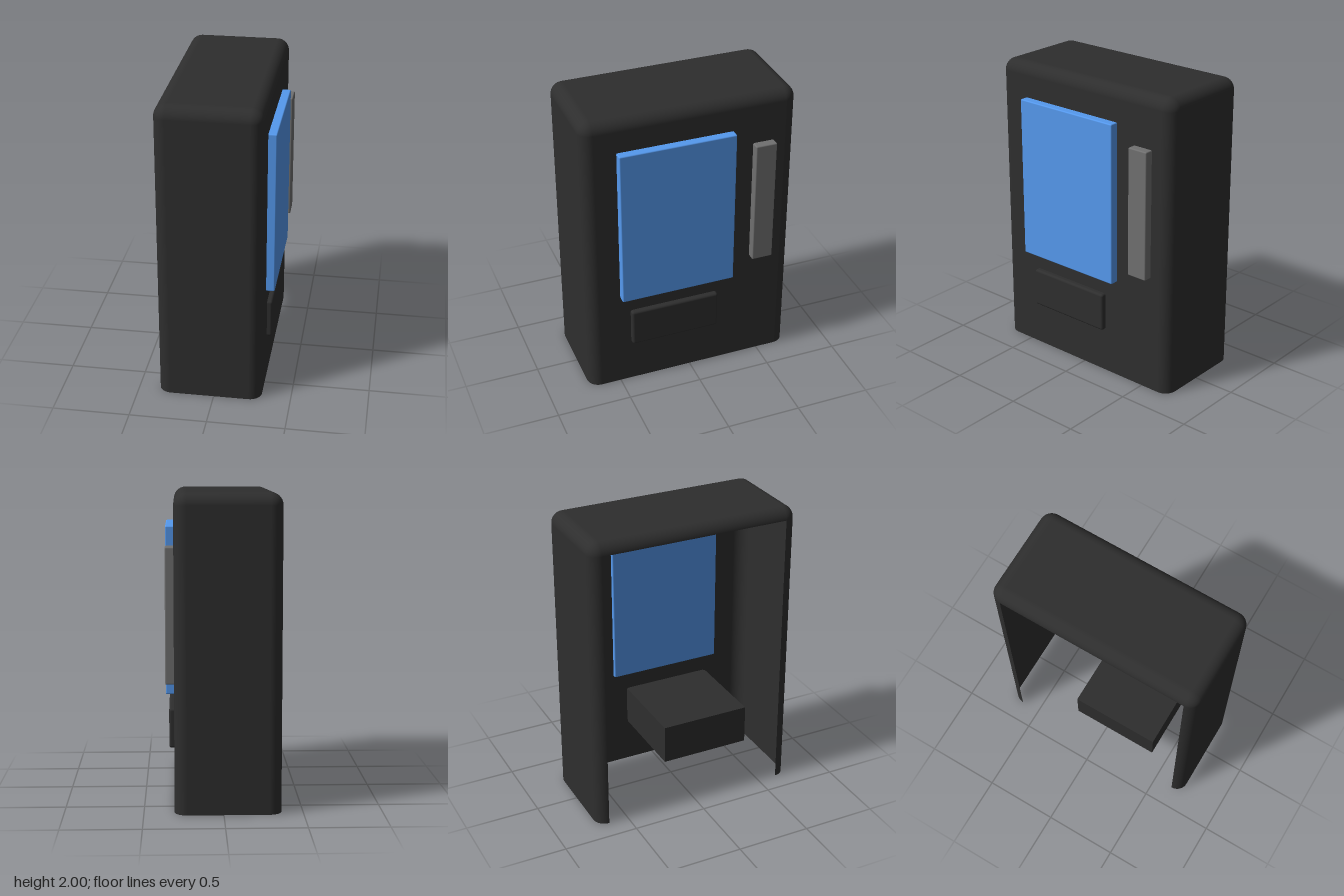
import * as THREE from 'three';
import { RoundedBoxGeometry } from 'three/addons/geometries/RoundedBoxGeometry.js';

const dark = new THREE.MeshStandardMaterial({ color: 0x2e2e2e });
const shellDark = new THREE.MeshStandardMaterial({ color: 0x2e2e2e, side: THREE.DoubleSide });
const blue = new THREE.MeshStandardMaterial({ color: 0x5599ee });
const grey = new THREE.MeshStandardMaterial({ color: 0x707070 });

// Box given by its limits on each axis; radius 0 keeps the edges sharp
function block(name, [x0, x1], [y0, y1], [z0, z1], radius, material) {
  const size = [x1 - x0, y1 - y0, z1 - z0];
  const geometry = radius
    ? new RoundedBoxGeometry(...size, 3, radius)
    : new THREE.BoxGeometry(...size);
  geometry.translate((x0 + x1) / 2, (y0 + y1) / 2, (z0 + z1) / 2);
  const mesh = new THREE.Mesh(geometry, material);
  mesh.name = name;
  return mesh;
}

// Thin rounded cabinet, open underneath and on its flat -x side
function cabinetShell() {
  const r = 0.08, xBack = -0.365;
  const mesh = block('cabinetShell', [xBack, 0.308], [-r, 2], [-0.715, 0.715], 0, shellDark);
  const full = new RoundedBoxGeometry(0.673, 2 + r, 1.43, 6, r);
  full.translate((xBack + 0.308) / 2, (2 - r) / 2, 0);
  const p = full.attributes.position, n = full.attributes.normal;
  const positions = [], normals = [];
  for (let i = 0; i < p.count; i += 3) {
    const corners = [i, i + 1, i + 2];
    const below = corners.reduce((sum, k) => sum + p.getY(k), 0) < -1e-4;
    const onOpenSide = corners.every((k) => p.getX(k) < xBack + 1e-4);
    if (below || onOpenSide) continue;
    for (const k of corners) {
      positions.push(p.getX(k), p.getY(k), p.getZ(k));
      normals.push(n.getX(k), n.getY(k), n.getZ(k));
    }
  }
  mesh.geometry = new THREE.BufferGeometry();
  mesh.geometry.setAttribute('position', new THREE.Float32BufferAttribute(positions, 3));
  mesh.geometry.setAttribute('normal', new THREE.Float32BufferAttribute(normals, 3));
  return mesh;
}

export function createModel() {
  const group = new THREE.Group();
  group.name = 'vendingMachine';
  group.add(
    cabinetShell(),
    // Display window and control strip on the +x face
    block('displayWindow', [0.285, 0.363], [0.687, 1.775], [-0.286, 0.489], 0.008, blue),
    block('controlStrip', [0.285, 0.363], [0.8, 1.66], [-0.563, -0.42], 0.008, grey),
    // Collection bin: softened flap outside, plain box reaching inside
    block('binFlap', [0.25, 0.343], [0.307, 0.57], [-0.188, 0.42], 0.016, dark),
    block('binBox', [-0.29, 0.3], [0.307, 0.57], [-0.188, 0.42], 0, dark),
  );
  return group;
}
